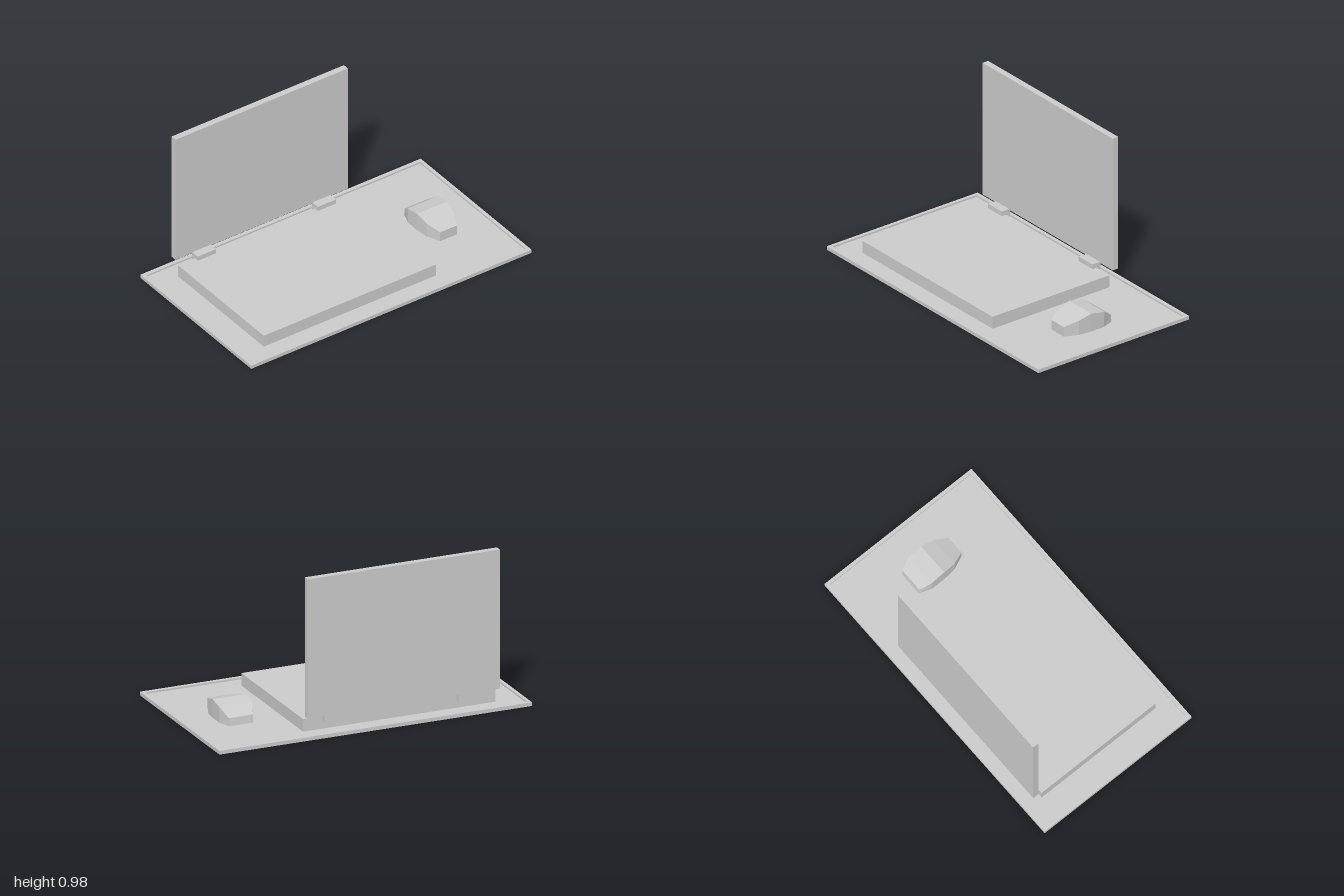
import * as THREE from 'three';

const material = new THREE.MeshStandardMaterial({ color: 0xcccccc, flatShading: true });

function addMesh(parent, name, geometry) {
  const mesh = new THREE.Mesh(geometry, material);
  mesh.name = name;
  parent.add(mesh);
  return mesh;
}

// Box given by its minimum and maximum corners
function addBox(parent, name, min, max) {
  const size = max.map((v, i) => v - min[i]);
  const mesh = addMesh(parent, name, new THREE.BoxGeometry(...size));
  mesh.position.set(...max.map((v, i) => (v + min[i]) / 2));
  return mesh;
}

function rectangle(Type, halfX, halfY) {
  return new Type([
    new THREE.Vector2(-halfX, -halfY), new THREE.Vector2(halfX, -halfY),
    new THREE.Vector2(halfX, halfY), new THREE.Vector2(-halfX, halfY),
  ]);
}

// Upright-walled body lofted through cross-sections [z bottom, z top, half width, top height]
function loftGeometry(sections, floor) {
  const rings = sections.map(([zBottom, zTop, w, top]) => [
    [-w, floor, zBottom], [w, floor, zBottom], [w, top, zTop], [-w, top, zTop],
  ]);
  const positions = [];
  const quad = (a, b, c, d) => positions.push(...a, ...b, ...c, ...a, ...c, ...d);
  for (let i = 0; i < rings.length - 1; i++) {
    const p = rings[i], q = rings[i + 1];
    for (let j = 0; j < 4; j++) {
      const k = (j + 1) % 4;
      quad(p[j], q[j], q[k], p[k]);
    }
  }
  const last = rings[rings.length - 1];
  quad(...rings[0]);
  quad(last[3], last[2], last[1], last[0]);
  const geometry = new THREE.BufferGeometry();
  geometry.setAttribute('position', new THREE.Float32BufferAttribute(positions, 3));
  geometry.computeVertexNormals();
  return geometry;
}

export function createModel() {
  const model = new THREE.Group();
  model.name = 'laptopOnDeskMat';

  // Desk mat: thin floor inside a raised rim
  const mat = new THREE.Group();
  mat.name = 'deskMat';
  model.add(mat);
  const rim = rectangle(THREE.Shape, 1, 0.557);
  rim.holes.push(rectangle(THREE.Path, 0.978, 0.532));
  const rimGeometry = new THREE.ExtrudeGeometry(rim, { depth: 0.023, bevelEnabled: false });
  addMesh(mat, 'matRim', rimGeometry.rotateX(-Math.PI / 2));
  addBox(mat, 'matFloor', [-0.978, 0, -0.532], [0.978, 0.012, 0.532]);

  // Laptop: base, upright screen and two hinge blocks
  const laptop = new THREE.Group();
  laptop.name = 'laptop';
  model.add(laptop);
  addBox(laptop, 'laptopBase', [-0.822, 0.012, -0.432], [0.408, 0.09, 0.432]);
  addBox(laptop, 'laptopScreen', [-0.822, 0.114, -0.495], [0.408, 0.975, -0.455]);
  for (const x of [-0.637, 0.22]) {
    addBox(laptop, 'screenHinge', [x - 0.065, 0.06, -0.46], [x + 0.065, 0.12, -0.4]);
  }

  // Faceted mouse, listed from front to back
  const mouse = addMesh(model, 'mouse', loftGeometry([
    [0.168, 0.168, 0.06, 0.075],
    [0.085, 0.085, 0.096, 0.105],
    [0, 0, 0.105, 0.128],
    [-0.09, -0.096, 0.105, 0.11],
    [-0.171, -0.164, 0.077, 0.06],
  ], 0.004));
  mouse.position.x = 0.684;

  return model;
}
